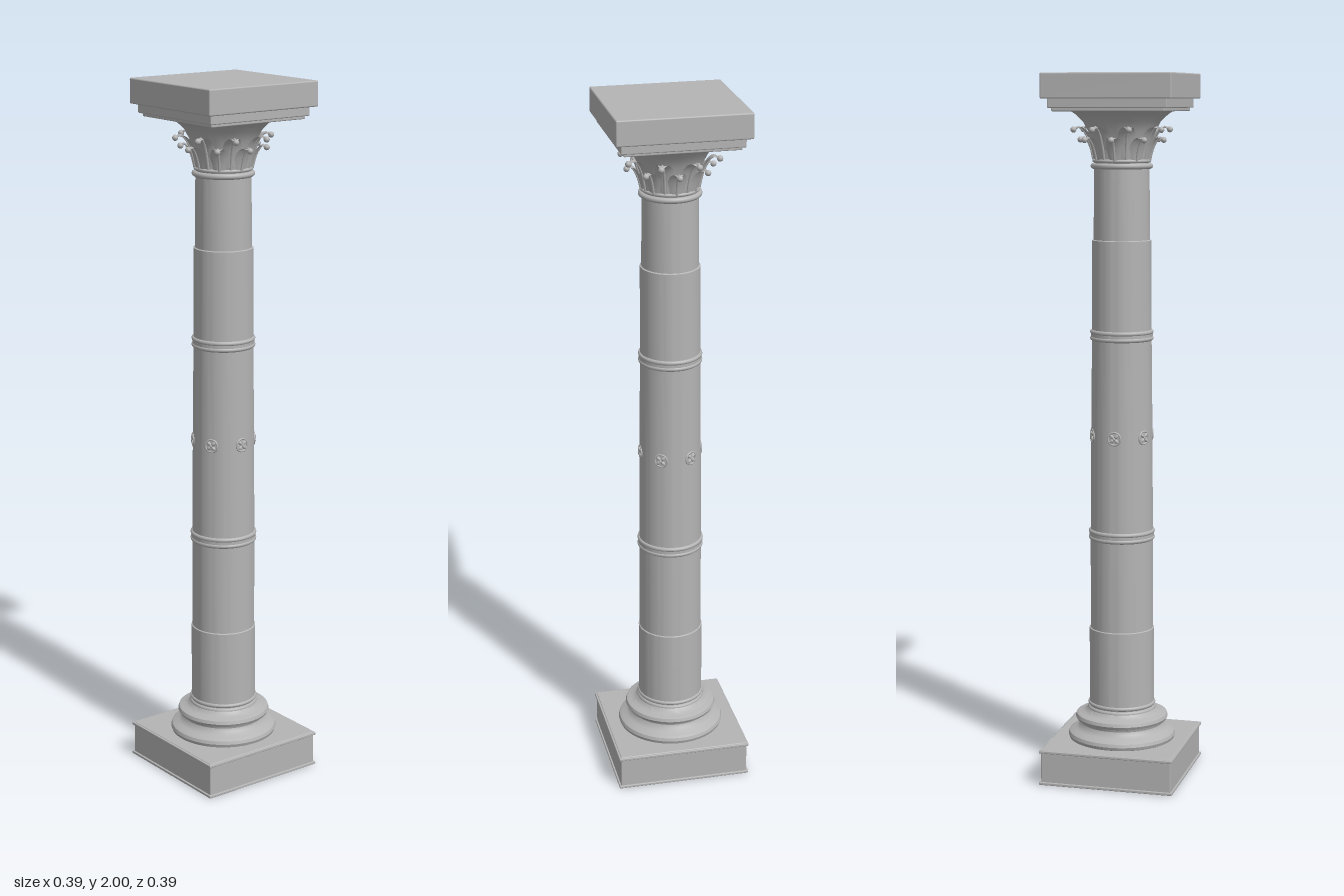
import * as THREE from 'three';
import { toCreasedNormals } from 'three/addons/utils/BufferGeometryUtils.js';
import { RoundedBoxGeometry } from 'three/addons/geometries/RoundedBoxGeometry.js';

const stone = new THREE.MeshStandardMaterial({ color: 0xb4b4b4 });
stone.name = 'stone';
const leafStone = new THREE.MeshStandardMaterial({ color: 0xb4b4b4, side: THREE.DoubleSide });
leafStone.name = 'leafStone';

export function createModel() {
  const column = new THREE.Group();
  column.name = 'column';

  const add = (name, geometry, parent = column, material = stone) => {
    const mesh = new THREE.Mesh(geometry, material);
    mesh.name = name;
    parent.add(mesh);
    return mesh;
  };
  const slab = (name, half, y0, y1, round = 0.003) => {
    const geo = new RoundedBoxGeometry(half * 2, y1 - y0, half * 2, 2, round);
    add(name, geo).position.y = (y0 + y1) / 2;
  };
  const turned = (name, points) => {
    const geo = new THREE.LatheGeometry(points.map(([r, y]) => new THREE.Vector2(r, y)), 64);
    return add(name, toCreasedNormals(geo, 0.6));
  };
  const ring = (name, radius, y, tube) => {
    const geo = new THREE.TorusGeometry(radius, tube, 10, 64).rotateX(Math.PI / 2);
    add(name, geo).position.y = y;
  };

  // Square plinth with thin projecting edges
  slab('plinth', 0.189, 0, 0.105);
  slab('plinthLowerEdge', 0.194, 0.002, 0.01, 0.002);
  slab('plinthUpperEdge', 0.194, 0.095, 0.103, 0.002);

  // Moulded round base
  turned('baseMoulding', [
    [0.14, 0.1], [0.151, 0.106], [0.154, 0.115], [0.151, 0.124], [0.142, 0.13],
    [0.13, 0.134], [0.121, 0.142], [0.118, 0.15], [0.12, 0.157],
    [0.129, 0.16], [0.133, 0.168], [0.13, 0.177], [0.121, 0.181],
    [0.108, 0.183], [0.1, 0.19], [0.094, 0.2], [0.09, 0.2],
  ]);
  ring('baseRingLower', 0.091, 0.195, 0.007);
  ring('baseRingUpper', 0.091, 0.209, 0.006);

  // Tapering shaft with a fine step near each end
  turned('shaft', [
    [0.093, 0.19], [0.0925, 0.43], [0.0895, 0.432], [0.089, 0.7], [0.087, 0.99],
    [0.084, 1.27], [0.083, 1.54], [0.079, 1.542], [0.077, 1.75],
  ]);

  // Two collars dividing the shaft
  for (const [y, r] of [[0.705, 0.088], [1.275, 0.083]]) {
    ring('collarLower', r, y - 0.009, 0.0065);
    ring('collarUpper', r, y + 0.009, 0.0065);
    turned('collarBand', [[r, y - 0.01], [r + 0.004, y - 0.006], [r + 0.004, y + 0.006], [r, y + 0.01]]);
  }

  // Six rosettes around the middle
  for (let i = 0; i < 6; i++) {
    const rosette = new THREE.Group();
    rosette.name = 'rosette';
    const a = i * Math.PI / 3;
    rosette.position.set(Math.sin(a) * 0.086, 0.99, Math.cos(a) * 0.086);
    rosette.rotation.y = a;
    add('rosetteRim', new THREE.TorusGeometry(0.018, 0.003, 8, 24), rosette);
    for (let k = 0; k < 4; k++) {
      const b = Math.PI / 4 + k * Math.PI / 2;
      const petal = add('rosettePetal', new THREE.SphereGeometry(1, 10, 8), rosette);
      petal.scale.set(0.008, 0.005, 0.005);
      petal.position.set(Math.cos(b) * 0.009, Math.sin(b) * 0.009, 0.001);
      petal.rotation.z = b;
    }
    add('rosetteCentre', new THREE.SphereGeometry(0.004, 10, 8), rosette).position.z = 0.003;
    column.add(rosette);
  }

  // Capital: neck rings and flared bell
  ring('neckRing', 0.079, 1.746, 0.008);
  ring('neckFillet', 0.077, 1.76, 0.005);
  turned('bell', [
    [0.075, 1.74], [0.077, 1.78], [0.083, 1.81], [0.093, 1.84],
    [0.108, 1.868], [0.128, 1.887], [0.143, 1.897], [0.143, 1.91],
  ]);

  // A leaf is a tapering sheet following a curve out from the bell
  const leaf = (name, angle, width, path) => {
    const group = new THREE.Group();
    group.name = name;
    group.rotation.y = angle;
    const curve = new THREE.CatmullRomCurve3(path.map(([r, y]) => new THREE.Vector3(0, y, r)));
    const geo = new THREE.PlaneGeometry(1, 1, 6, 14);
    const pos = geo.attributes.position;
    for (let i = 0; i < pos.count; i++) {
      const u = pos.getX(i) * 2, t = pos.getY(i) + 0.5;
      const p = curve.getPoint(t);
      const half = width * (0.55 + 0.45 * Math.sin(t * Math.PI * 1.1)) * Math.sqrt(1.02 - t * t);
      pos.setXYZ(i, u * half, p.y, p.z - u * u * half * 0.3);
    }
    geo.computeVertexNormals();
    add('leafBlade', geo, group, leafStone);
    add('leafRib', new THREE.TubeGeometry(curve, 14, 0.0035, 6), group);
    const tip = path[path.length - 1];
    add('leafTip', new THREE.SphereGeometry(0.0085, 12, 8), group).position.set(0, tip[1], tip[0]);
    column.add(group);
  };
  for (let i = 0; i < 8; i++) {
    const a = i * Math.PI / 4;
    leaf('lowerLeaf', a, 0.027, [[0.08, 1.76], [0.086, 1.785], [0.096, 1.81], [0.108, 1.824], [0.119, 1.818]]);
    leaf('upperLeaf', a + Math.PI / 8, 0.027, [[0.08, 1.765], [0.089, 1.805], [0.103, 1.838], [0.12, 1.853], [0.135, 1.846]]);
  }

  // Stepped square abacus
  slab('abacusFillet', 0.158, 1.896, 1.91);
  slab('abacusLower', 0.167, 1.905, 1.932);
  slab('abacusUpper', 0.183, 1.93, 2.0, 0.004);

  return column;
}
